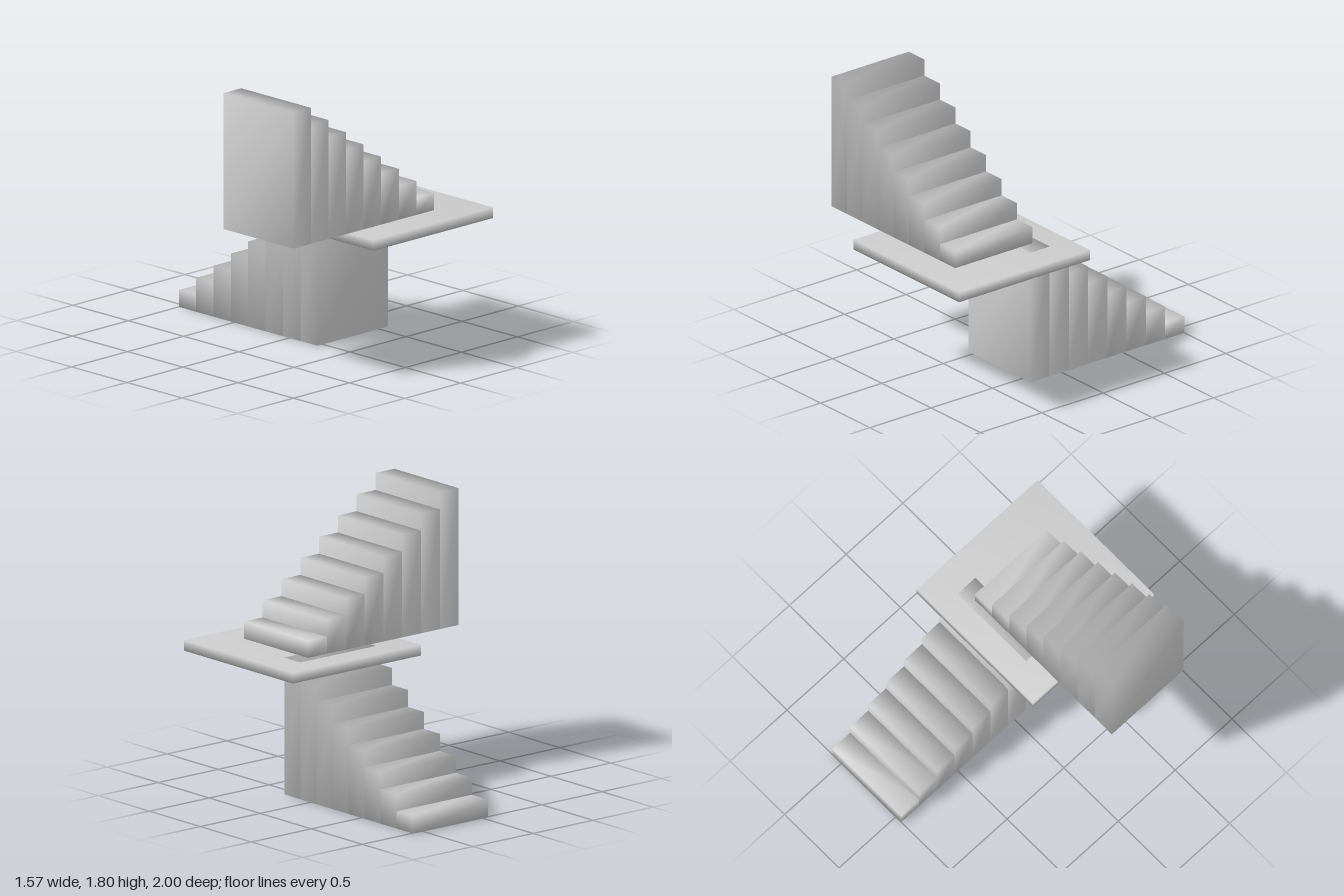
import * as THREE from 'three';
import { mergeVertices } from 'three/addons/utils/BufferGeometryUtils.js';

const STEPS = 8, TREAD = 0.157, RISE = 0.1125, WIDTH = 0.63;
const material = new THREE.MeshStandardMaterial({ color: 0xcccccc });

// Box between two corners, with normals shared across its edges for soft shading
function softBox(name, [x0, y0, z0], [x1, y1, z1]) {
  let geometry = new THREE.BoxGeometry(x1 - x0, y1 - y0, z1 - z0);
  geometry.deleteAttribute('normal');
  geometry.deleteAttribute('uv');
  geometry = mergeVertices(geometry);
  geometry.computeVertexNormals();
  const mesh = new THREE.Mesh(geometry, material);
  mesh.name = name;
  mesh.position.set((x0 + x1) / 2, (y0 + y1) / 2, (z0 + z1) / 2);
  return mesh;
}

// Flight of solid steps climbing along +z, starting at the local origin
function flight(name) {
  const group = new THREE.Group();
  group.name = name;
  for (let i = 0; i < STEPS; i++) {
    group.add(softBox(`step${i + 1}`,
      [-WIDTH / 2, 0, i * TREAD],
      [WIDTH / 2, (i + 1) * RISE, (i + 1) * TREAD]));
  }
  return group;
}

export function createModel() {
  const model = new THREE.Group();
  model.name = 'staircase';

  // Lower flight climbs from the back towards the front
  const lower = flight('lowerFlight');
  lower.position.set(0.266, 0, -1);
  // The last step shows just proud of the landing
  lower.children[STEPS - 1].position.y += 0.001;
  model.add(lower);

  // Square landing slab
  model.add(softBox('landing', [-0.285, 0.83, -0.067], [0.784, 0.9, 1]));

  // Upper flight turns and climbs towards -x
  const upper = flight('upperFlight');
  upper.rotation.y = -Math.PI / 2;
  upper.position.set(0.472, STEPS * RISE, 0.465);
  model.add(upper);

  return model;
}
